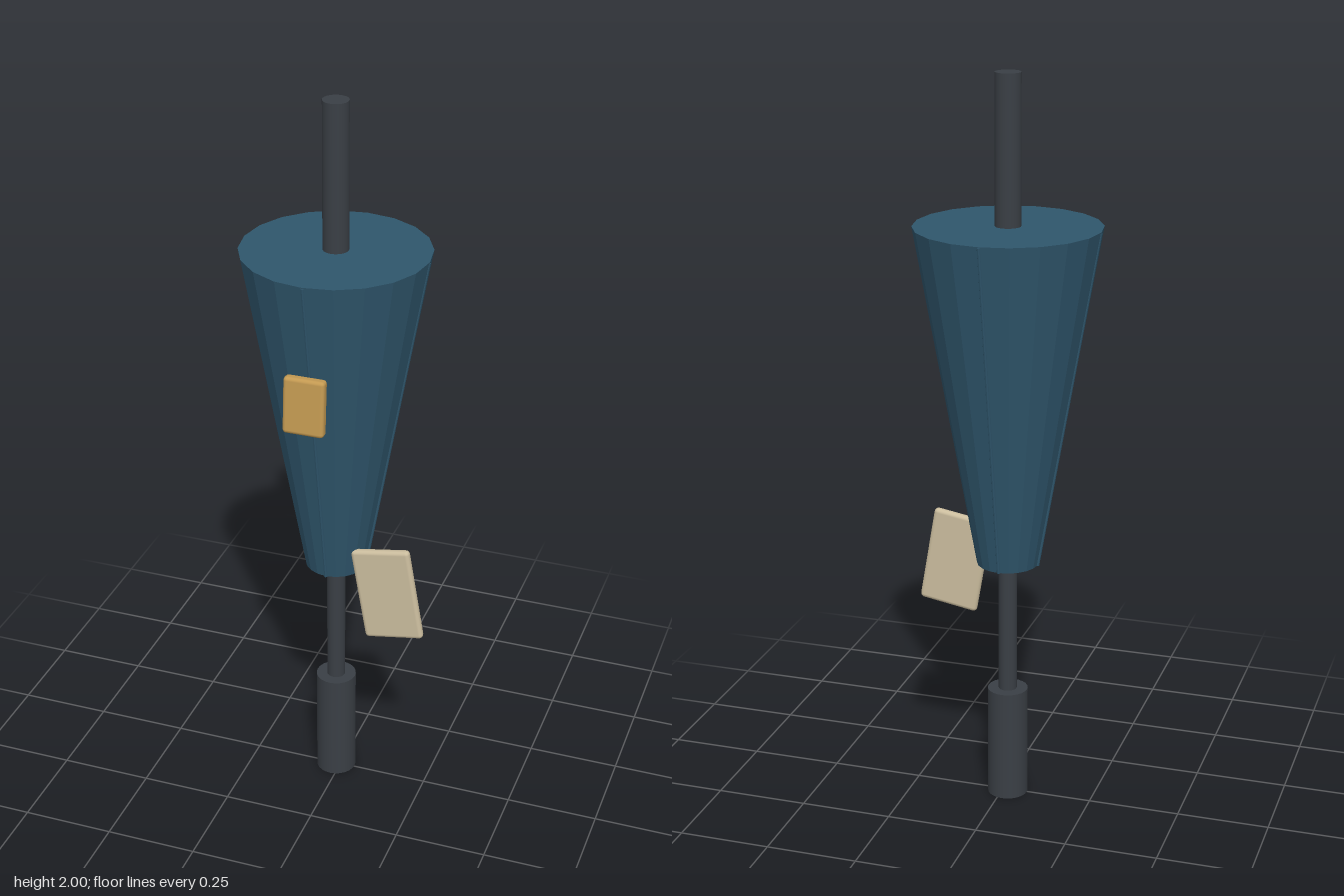
import * as THREE from 'three';
import { RoundedBoxGeometry } from 'three/addons/geometries/RoundedBoxGeometry.js';

const mat = (color, flatShading = false) => new THREE.MeshStandardMaterial({ color, flatShading });

export function createModel() {
  const group = new THREE.Group();
  const fabric = mat(0x2f566c, true);
  const dark = mat(0x3a3f45);

  const add = (name, geometry, material, parent = group) => {
    const mesh = new THREE.Mesh(geometry, material);
    mesh.name = name;
    parent.add(mesh);
    return mesh;
  };

  // Everything round shares one slightly off-centre axis
  const body = new THREE.Group();
  body.name = 'umbrellaBody';
  body.position.set(-0.014, 0, -0.003);
  group.add(body);

  const column = (name, rTop, rBottom, y0, y1, sides, material) => {
    const mesh = add(name, new THREE.CylinderGeometry(rTop, rBottom, y1 - y0, sides), material, body);
    mesh.position.y = (y0 + y1) / 2;
    return mesh;
  };

  // Handle, shaft and tip
  column('handle', 0.055, 0.055, 0, 0.315, 24, dark);
  column('shaft', 0.025, 0.025, 0.3, 0.7, 20, dark);
  column('tip', 0.034, 0.034, 1.59, 2, 24, dark);

  // Folded canopy
  const yLow = 0.685, yHigh = 1.608, rLow = 0.083, rHigh = 0.247;
  column('canopy', rHigh, rLow, yLow, yHigh, 20, fabric);

  // Four thin seams lying along the canopy
  const up = new THREE.Vector3(0, 1, 0);
  for (let i = 0; i < 4; i++) {
    const a = (i * Math.PI) / 2;
    const at = (r, y) => new THREE.Vector3(Math.sin(a) * r, y, Math.cos(a) * r);
    const low = at(rLow, yLow), high = at(rHigh - 0.003, yHigh - 0.003);
    const dir = high.clone().sub(low);
    const seam = add('seam', new THREE.CylinderGeometry(0.005, 0.005, dir.length(), 8), fabric, body);
    seam.position.copy(low).add(high).multiplyScalar(0.5);
    seam.quaternion.setFromUnitVectors(up, dir.normalize());
  }

  // Clasp in front of the canopy
  const clasp = add('clasp', new RoundedBoxGeometry(0.11, 0.153, 0.03, 2, 0.01), mat(0xc49a52));
  clasp.position.set(-0.015, 1.277, 0.229);
  clasp.rotation.x = -0.08;

  // Hanging tag
  const tag = add('tag', new RoundedBoxGeometry(0.165, 0.27, 0.024, 2, 0.011), mat(0xcbbd9e));
  tag.position.set(0.153, 0.65, 0.056);
  tag.rotation.z = 0.17;

  return group;
}
